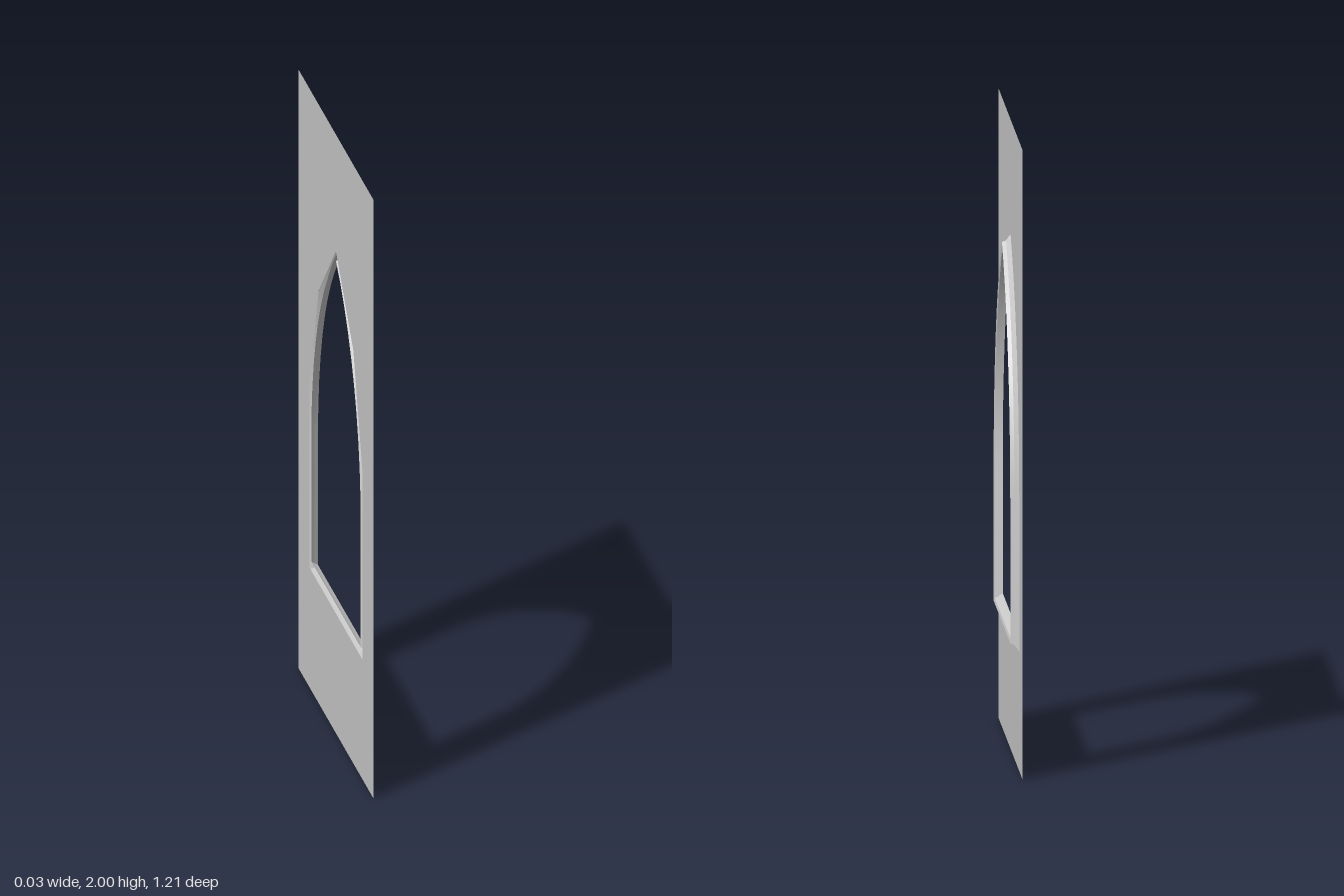
import * as THREE from 'three';
import { toCreasedNormals } from 'three/addons/utils/BufferGeometryUtils.js';

// Ridge line of the pointed arch: half width, sill, spring height, arc radius
const HALF = 0.427, SILL = 0.403, SPRING = 0.85, RADIUS = 0.89;
const SEGMENTS = 10;
const WALL_X = -0.014;

// Closed outline of the arch, grown outward by d, counter-clockwise
function archOutline(d) {
  const r = RADIUS + d, centre = HALF - RADIUS;
  const apex = Math.acos(-centre / r);
  const side = [[HALF + d, SILL - d]];
  for (let i = 0; i <= SEGMENTS; i++) {
    const a = apex * i / SEGMENTS;
    side.push([centre + r * Math.cos(a), SPRING + r * Math.sin(a)]);
  }
  const mirrored = side.slice(0, -1).reverse().map(([u, y]) => [-u, y]);
  return [...side, ...mirrored];
}

// Sweep a moulding profile of [outward offset, x] points round the arch
function mouldingGeometry(profile) {
  const rings = profile.map(([d, x]) => archOutline(d).map(([u, y]) => [x, y, -u]));
  const n = rings[0].length;
  const positions = [];
  for (let j = 0; j < rings.length - 1; j++) {
    for (let i = 0; i < n; i++) {
      const k = (i + 1) % n;
      const a = rings[j][i], b = rings[j][k], c = rings[j + 1][k], d = rings[j + 1][i];
      positions.push(...a, ...b, ...c, ...a, ...c, ...d);
    }
  }
  const geometry = new THREE.BufferGeometry();
  geometry.setAttribute('position', new THREE.Float32BufferAttribute(positions, 3));
  return toCreasedNormals(geometry, 0.4);
}

export function createModel() {
  const group = new THREE.Group();
  group.name = 'archedWindowWall';
  const material = new THREE.MeshStandardMaterial({ color: 0xcccccc, side: THREE.DoubleSide });

  // Thin wall with a coarse opening whose edge hides behind the moulding
  const points = (list) => list.map(([u, y]) => new THREE.Vector2(u, y));
  const wallShape = new THREE.Shape(points([[-0.607, 0], [0.607, 0], [0.607, 2], [-0.607, 2]]));
  wallShape.holes.push(new THREE.Path(points([
    [-0.43, 0.4], [-0.43, 1.02], [-0.28, 1.38], [0, 1.61],
    [0.28, 1.38], [0.43, 1.02], [0.43, 0.4],
  ])));
  const wall = new THREE.Mesh(new THREE.ShapeGeometry(wallShape), material);
  wall.name = 'wall';
  wall.rotation.y = Math.PI / 2;
  wall.position.x = WALL_X;
  group.add(wall);

  // Moulded frame: outer bevel, raised ridge, sloping reveal
  const frame = new THREE.Mesh(mouldingGeometry([
    [0.022, WALL_X], [0.005, 0], [0, 0.013], [-0.01, 0.01], [-0.014, 0.002], [-0.028, WALL_X],
  ]), material);
  frame.name = 'windowFrame';
  group.add(frame);

  return group;
}
